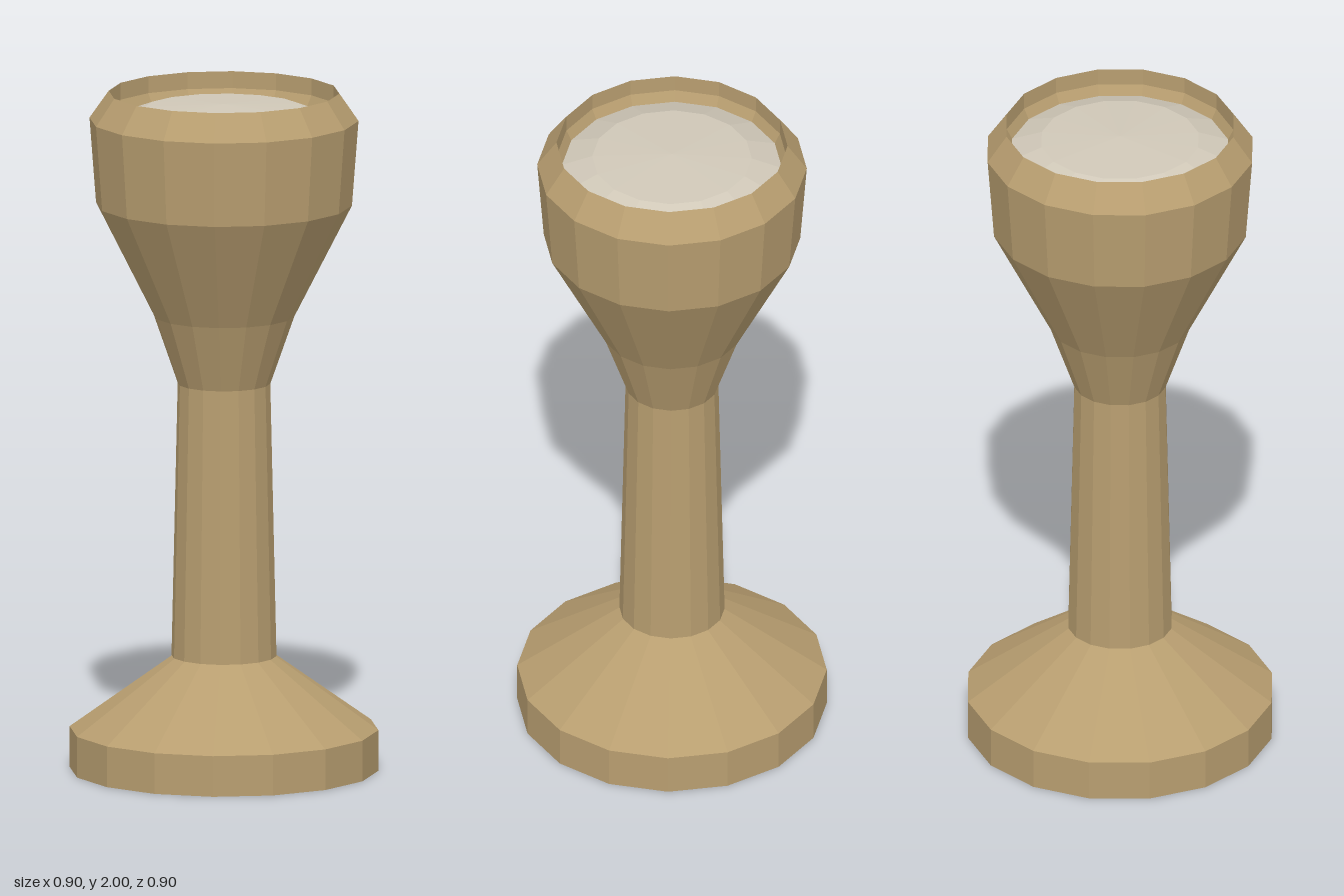
import * as THREE from 'three';

const SIDES = 16;

const bodyMaterial = new THREE.MeshStandardMaterial({ color: 0xb89e70, flatShading: true });
const lensMaterial = new THREE.MeshStandardMaterial({ color: 0xd0c8b8, flatShading: true });

// Revolves a [radius, height] profile, listed from bottom to top on the outside
function turned(name, profile, material) {
  const points = profile.map(([r, y]) => new THREE.Vector2(r, y));
  const mesh = new THREE.Mesh(new THREE.LatheGeometry(points, SIDES), material);
  mesh.name = name;
  return mesh;
}

export function createModel() {
  const model = new THREE.Group();
  model.name = 'pedestalLamp';

  // Closed disc foot with a sloping shoulder
  model.add(turned('base', [[0, 0], [0.45, 0], [0.45, 0.12], [0.15, 0.335]], bodyMaterial));

  // Slightly tapered column
  model.add(turned('stem', [[0.153, 0.335], [0.135, 1.14]], bodyMaterial));

  // Flared head with a bevelled rim and a recessed inner lip
  model.add(turned('head', [
    [0.135, 1.14], [0.205, 1.34], [0.373, 1.67], [0.392, 1.92],
    [0.336, 2], [0.336, 1.95], [0.32, 1.92],
  ], bodyMaterial));

  // Shallow dome set inside the rim
  model.add(turned('lens', [[0.32, 1.92], [0.232, 1.953], [0, 1.965]], lensMaterial));

  return model;
}
